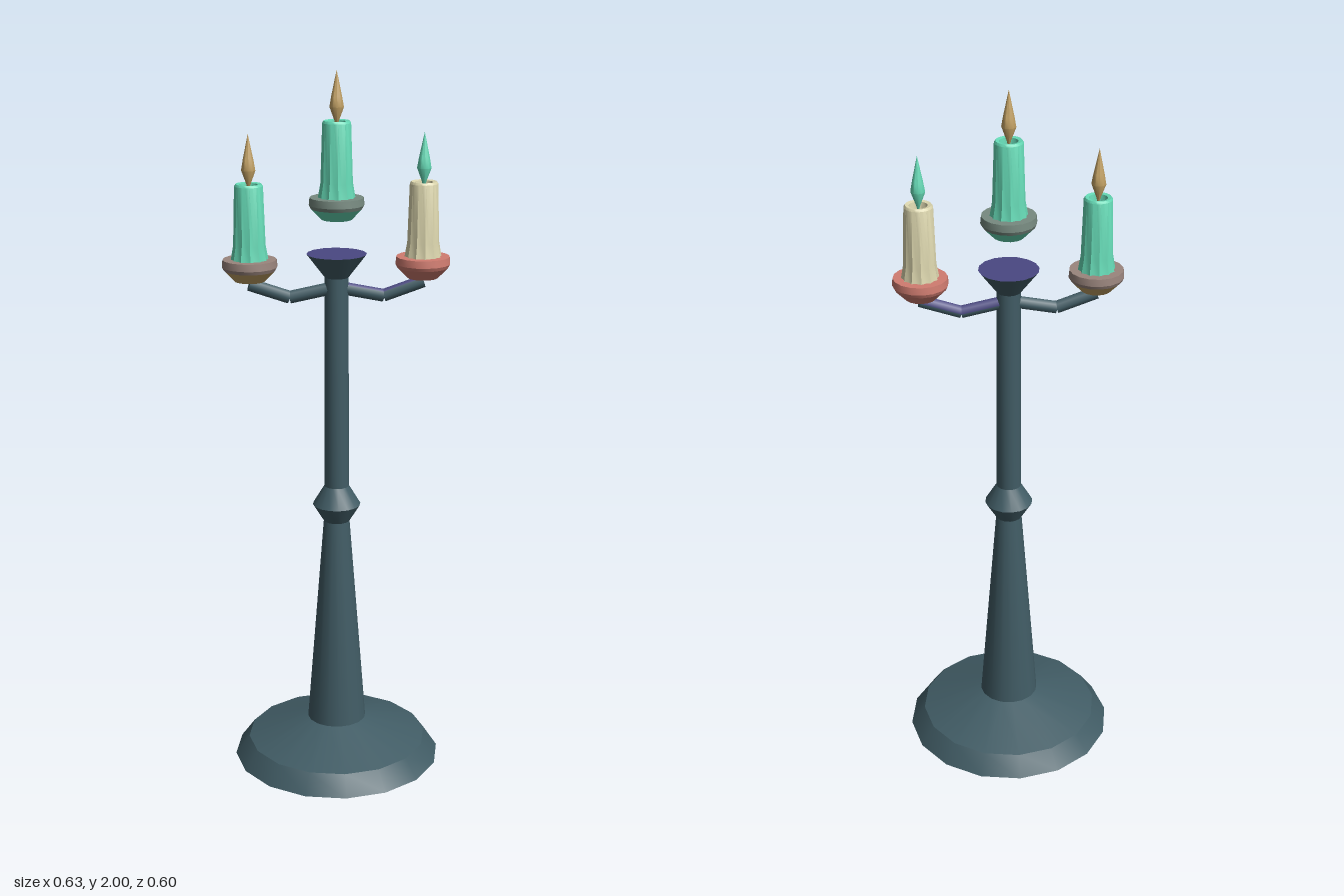
import * as THREE from 'three';
import { toCreasedNormals } from 'three/addons/utils/BufferGeometryUtils.js';

const mat = (name, color, side = THREE.FrontSide) => {
  const m = new THREE.MeshStandardMaterial({ color, side });
  m.name = name;
  return m;
};

export function createModel() {
  const teal = mat('darkTeal', 0x415c65);
  const purple = mat('purple', 0x4a4882);
  const mint = mat('mint', 0x66dab6);
  const cream = mat('cream', 0xdcd6ae);
  const salmon = mat('salmon', 0xd07c70);
  const taupe = mat('taupe', 0x9a857d);
  const sage = mat('sage', 0x778a80);
  const gold = mat('gold', 0xc2a164);

  const group = new THREE.Group();
  const add = (name, geometry, material, parent = group) => {
    const mesh = new THREE.Mesh(geometry, material);
    mesh.name = name;
    parent.add(mesh);
    return mesh;
  };
  // Turned part from [radius, height] pairs, listed bottom to top
  const turned = (points, sides = 16) => {
    const g = new THREE.LatheGeometry(points.map(([r, y]) => new THREE.Vector2(r, y)), sides);
    return toCreasedNormals(g, sides < 12 ? 0.8 : 0.5);
  };

  // Foot and stem
  add('foot', turned([[0.3, 0], [0.26, 0.055], [0.085, 0.115]]), teal);
  add('stem', turned([
    [0.085, 0.11], [0.037, 0.73], [0.068, 0.78], [0.035, 0.835],
    [0.033, 1.44], [0.083, 1.505],
  ]), teal);
  const cap = add('stemTop', new THREE.CircleGeometry(0.083, 16), purple);
  cap.rotation.x = -Math.PI / 2;
  cap.position.y = 1.505;

  // Underside of the foot, in two pieces meeting on a chord
  const underside = (name, first, last, material) => {
    const pts = [];
    for (let i = first; i <= last; i++) {
      const a = (i * Math.PI) / 8;
      pts.push(new THREE.Vector2(0.3 * Math.cos(a), 0.3 * Math.sin(a)));
    }
    const mesh = add(name, new THREE.ShapeGeometry(new THREE.Shape(pts)), material);
    mesh.rotation.x = Math.PI / 2;
  };
  underside('footUnderside', -5, 5, teal);
  underside('footUndersidePatch', 5, 11, taupe);

  // Bent arms, each of two straight rods; the left arm has a painted upper face
  const rod = (parent, [x1, y1], [x2, y2], topMaterial) => {
    const length = Math.hypot(x2 - x1, y2 - y1);
    const start = Math.PI;
    const span = Math.PI * 0.75;
    const piece = (name, material, from, sweep, sides) => {
      const g = new THREE.CylinderGeometry(0.018, 0.018, length, sides, 1, false, from, sweep);
      const mesh = add(name, g, material, parent);
      mesh.position.set((x1 + x2) / 2, (y1 + y2) / 2, 0);
      mesh.rotation.z = Math.atan2(y2 - y1, x2 - x1) - Math.PI / 2;
    };
    piece('armTop', topMaterial, start, span, 3);
    piece('armBottom', teal, start + span, Math.PI * 2 - span, 5);
  };
  for (const side of [1, -1]) {
    const arm = new THREE.Group();
    arm.name = side > 0 ? 'leftArm' : 'rightArm';
    const points = [[0.02, 1.408], [0.13, 1.386], [0.24, 1.424]].map(([x, y]) => [x * side, y]);
    if (side < 0) points.reverse();
    const top = side > 0 ? purple : teal;
    rod(arm, points[0], points[1], top);
    rod(arm, points[1], points[2], top);
    group.add(arm);
  }

  // Wax body with a wavy flare at the foot and a hollow top
  const waxGeometry = () => {
    const profile = [[0.049, 0.058], [0.042, 0.1], [0.039, 0.26], [0.035, 0.266], [0.025, 0.264], [0.022, 0.245], [0, 0.243]];
    const g = new THREE.LatheGeometry(profile.map(([r, y]) => new THREE.Vector2(r, y)), 24);
    const p = g.attributes.position;
    for (let i = 0; i < p.count; i++) {
      if (p.getY(i) > 0.11) continue;
      const wave = 1 + 0.05 * Math.cos(12 * Math.atan2(p.getX(i), p.getZ(i)));
      p.setX(i, p.getX(i) * wave);
      p.setZ(i, p.getZ(i) * wave);
    }
    return toCreasedNormals(g, 0.6);
  };

  // Candle with its dish and flame
  const candle = (name, x, y, rim, under, wax, fire) => {
    const c = new THREE.Group();
    c.name = name;
    c.position.set(x, y, 0);
    add('dishUnderside', turned([[0, 0], [0.042, 0], [0.071, 0.03]]), under, c);
    add('dishRim', turned([[0.071, 0.03], [0.076, 0.04], [0.074, 0.06], [0, 0.06]]), rim, c);
    add('wax', waxGeometry(), wax, c);
    add('flame', turned([[0, 0.243], [0.006, 0.265], [0.02, 0.302], [0.015, 0.33], [0, 0.4]], 10), fire, c);
    group.add(c);
  };
  candle('rightCandle', -0.238, 1.434, taupe, gold, mint, gold);
  candle('middleCandle', 0, 1.6, sage, mint, mint, gold);
  candle('leftCandle', 0.238, 1.434, salmon, salmon, cream, mint);

  return group;
}
